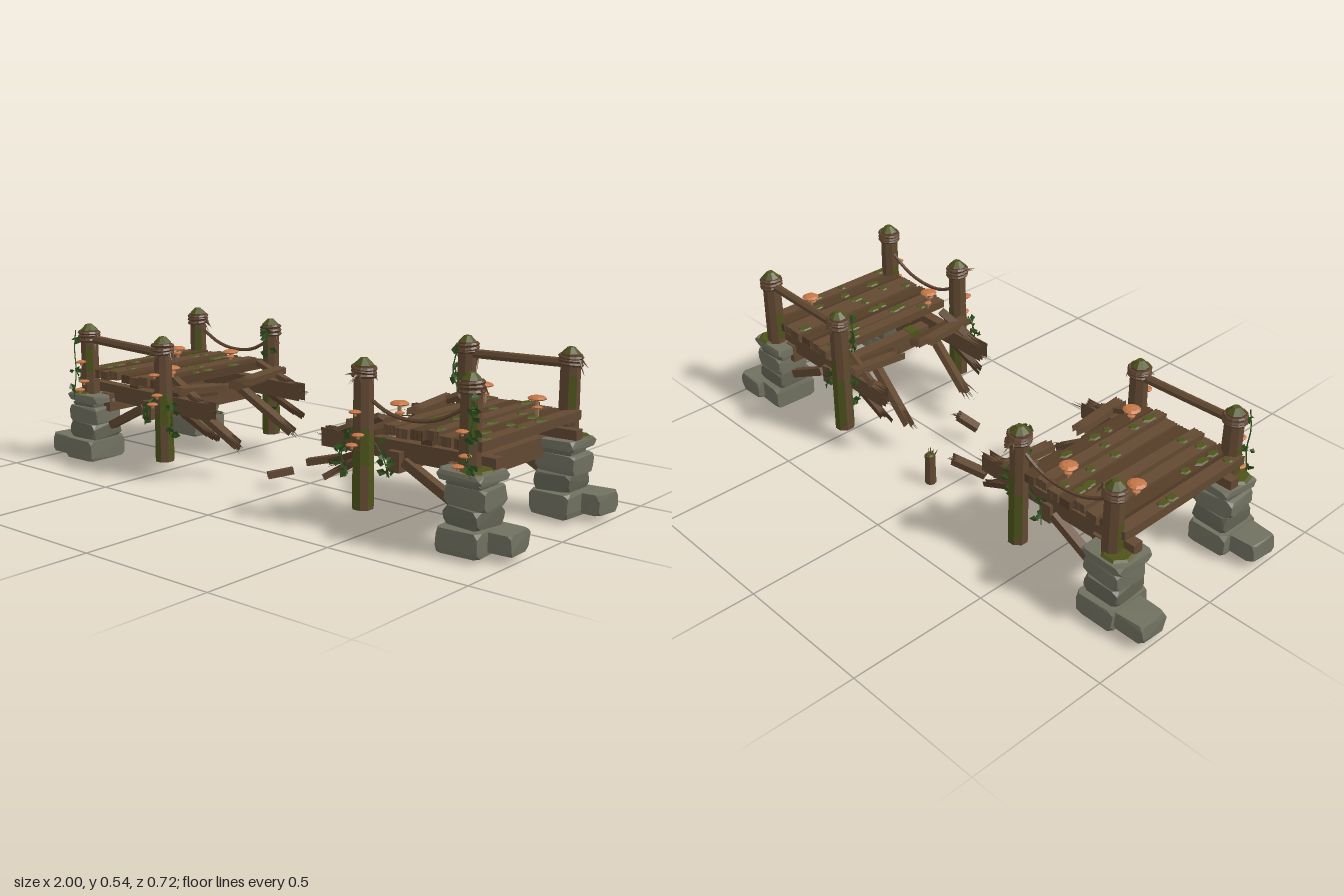
import * as THREE from 'three';
import { mergeGeometries } from 'three/addons/utils/BufferGeometryUtils.js';
import { ConvexGeometry } from 'three/addons/geometries/ConvexGeometry.js';

const V = (x, y, z) => new THREE.Vector3(x, y, z);
let seed = 7;
const rnd = (a = 0, b = 1) => {
  seed = (seed * 16807) % 2147483647;
  return a + (b - a) * (seed / 2147483647);
};
const material = (name, color, side = THREE.FrontSide) =>
  Object.assign(new THREE.MeshStandardMaterial({ color, side }), { name });

const wood = material('wood', 0x624932);
const darkWood = material('darkWood', 0x543d28);
const ropeMat = material('rope', 0x5f4530);
const stone = material('stone', 0x717161);
const darkStone = material('darkStone', 0x646555);
const moss = material('moss', 0x4e531b);
const leafMat = material('leaf', 0x32521f, THREE.DoubleSide);
const capMat = material('mushroomCap', 0xc47646);
const stemMat = material('mushroomStem', 0x9a7a58);

// Faceted mesh added to a parent
function add(parent, name, geo, mat, x = 0, y = 0, z = 0) {
  const g = geo.index ? geo.toNonIndexed() : geo;
  g.computeVertexNormals();
  const mesh = new THREE.Mesh(g, mat);
  mesh.name = name;
  mesh.position.set(x, y, z);
  parent.add(mesh);
  return mesh;
}

// Board along x; j0 and j1 are the splinter depths of its two ends
function boardGeometry(len, w, t, j0, j1) {
  const s = new THREE.Shape(), n = 6, h = len / 2;
  const notch = (i, j) => (i % 2 ? rnd(0.6, 1) : rnd(0, 0.5)) * j;
  for (let i = 0; i <= n; i++) {
    const x = h - notch(i, j1), y = -w / 2 + w * i / n;
    i ? s.lineTo(x, y) : s.moveTo(x, y);
  }
  for (let i = n; i >= 0; i--) s.lineTo(-h + notch(i, j0), -w / 2 + w * i / n);
  return new THREE.ExtrudeGeometry(s, { depth: t, bevelEnabled: false }).translate(0, 0, -t / 2).rotateX(-Math.PI / 2);
}

function board(parent, name, a, b, w, t, j0 = 0, j1 = 0, mat = wood) {
  const d = b.clone().sub(a), m = a.clone().add(b).multiplyScalar(0.5);
  const mesh = add(parent, name, boardGeometry(d.length(), w, t, j0, j1), mat, m.x, m.y, m.z);
  mesh.quaternion.setFromUnitVectors(V(1, 0, 0), d.normalize());
}

// Fan of thin slivers around a direction
function splinters(parent, at, dir, count, len, spread = 0.5, mat = darkWood) {
  const parts = [];
  for (let i = 0; i < count; i++) {
    const l = len * rnd(0.5, 1), d = dir.clone().add(V(rnd(-1, 1), rnd(-1, 1), rnd(-1, 1)).multiplyScalar(spread)).normalize();
    const g = new THREE.ConeGeometry(0.0045, l, 4).translate(0, l / 2, 0);
    g.applyQuaternion(new THREE.Quaternion().setFromUnitVectors(V(0, 1, 0), d));
    parts.push(g.translate(at.x + rnd(-0.012, 0.012), at.y + rnd(-0.01, 0.01), at.z + rnd(-0.012, 0.012)));
  }
  add(parent, 'splinters', mergeGeometries(parts), mat);
}

// Rough-hewn block: jittered box with cut corners, slightly turned
function rock(parent, x, z, y0, y1, hx, hz, mat = stone) {
  const pts = [], h = [hx, (y1 - y0) / 2, hz];
  for (const sx of [-1, 1]) for (const sy of [-1, 1]) for (const sz of [-1, 1])
    for (let k = 0; k < 3; k++)
      pts.push(V(...[sx, sy, sz].map((s, i) => s * (h[i] - (i === k ? rnd(0.012, 0.024) : rnd(0, 0.006))))));
  add(parent, 'stoneBlock', new ConvexGeometry(pts), mat, x, (y0 + y1) / 2, z).rotation.y = rnd(-0.07, 0.07);
}

// Stacked pillar with a second foot stone on its outer side
function pillar(parent, x, z, s, footZ) {
  const g = new THREE.Group(), zc = z - Math.sign(z) * 0.02;
  g.name = 'stonePillar';
  parent.add(g);
  const layers = [[0.01, 0.092, 0.073, 0.085], [0.088, 0.15, 0.066, 0.068], [0.146, 0.212, 0.072, 0.064], [0.204, 0.234, 0.06, 0.058], [0.225, 0.26, 0.082, 0.073]];
  layers.forEach(([y0, y1, hx, hz], i) =>
    rock(g, x + rnd(-0.008, 0.008), zc + rnd(-0.005, 0.005), y0, y1, hx, hz, i % 2 ? darkStone : stone));
  rock(g, s * 0.935, footZ, 0.018, 0.088, 0.062, 0.058);
  add(g, 'pillarMoss', new THREE.CylinderGeometry(0.045, 0.055, 0.007, 7), moss, x + s * 0.025, 0.261, z);
}

// Octagonal post with mossy head, rope lashing and moss streaks on some sides
function post(parent, x, y0, y1, z, streaks) {
  const g = new THREE.Group(), h = y1 - y0, r = 0.032;
  g.name = 'post';
  g.position.set(x, y0, z);
  g.rotation.y = Math.PI / 8;
  parent.add(g);
  add(g, 'postShaft', new THREE.CylinderGeometry(r, r * 1.06, h - 0.02, 8), wood, 0, (h - 0.02) / 2);
  add(g, 'postMossCap', new THREE.CylinderGeometry(0.012, r, 0.02, 8), moss, 0, h - 0.01);
  for (let i = 0; i < 3; i++) {
    const ring = add(g, 'ropeWrap', new THREE.TorusGeometry(r + 0.003, 0.0065, 5, 12), ropeMat, 0, h - 0.03 - i * 0.012);
    ring.rotation.set(Math.PI / 2 + rnd(-0.1, 0.1), rnd(-0.1, 0.1), 0);
  }
  for (const [side, from, to] of streaks)
    add(g, 'mossStreak', new THREE.CylinderGeometry(r * 1.06, r * 1.1, h * (to - from), 1, 1, true, side * Math.PI / 4, Math.PI / 4), moss, 0, h * (from + to) / 2);
  splinters(g, V(0.03, h - 0.045, 0.01), V(0.4, -1, 0.2), 3, 0.06, 0.4, ropeMat);
}
const outerStreaks = [[5, 0.1, 0.45], [0, 0.35, 0.7]];
const innerStreaks = [[7, 0, 0.4], [6, 0, 0.72], [0, 0.3, 0.55], [1, 0.02, 0.5], [2, 0, 0.3], [3, 0, 0.6], [4, 0.05, 0.45]];

function mushroom(parent, x, y, z, r, h) {
  const g = new THREE.Group();
  g.name = 'mushroom';
  g.position.set(x, y, z);
  parent.add(g);
  add(g, 'mushroomStem', new THREE.CylinderGeometry(r * 0.17, r * 0.24, h, 6), stemMat, 0, h / 2);
  const profile = [[0, 0], [r * 0.9, -0.002], [r, 0.002], [r * 0.7, r * 0.26], [0, r * 0.38]].map(p => new THREE.Vector2(...p));
  add(g, 'mushroomCap', new THREE.LatheGeometry(profile, 10), capMat, 0, h);
}

// Hanging vine through a few points, with folded leaves
function vine(parent, pts, count) {
  const curve = new THREE.CatmullRomCurve3(pts), leaves = [];
  add(parent, 'vineStem', new THREE.TubeGeometry(curve, 12, 0.0025, 4), leafMat);
  for (let i = 0; i < count; i++) {
    const p = curve.getPoint(rnd()), l = rnd(0.02, 0.035), w = l * 0.42;
    const g = new THREE.BufferGeometry();
    g.setAttribute('position', new THREE.Float32BufferAttribute([0, 0, 0, w, l / 2, 0.004, 0, l, 0, 0, 0, 0, 0, l, 0, -w, l / 2, 0.004], 3));
    g.rotateZ(rnd(0, 6.28)).rotateX(rnd(-0.8, 0.8)).rotateY(rnd(-0.9, 0.9));
    leaves.push(g.translate(p.x + rnd(-0.012, 0.012), p.y, p.z + rnd(-0.006, 0.006)));
  }
  add(parent, 'vineLeaves', mergeGeometries(leaves), leafMat);
}

// One surviving end of the bridge; s = -1 or 1, side = z sign of the log rail
function bridgeEnd(name, s, planks, top, side, feet) {
  const g = new THREE.Group();
  g.name = name;
  const X = u => s * u + 0.015, P = (u, y, z) => V(X(u), y, z);
  [0.283, -0.27].forEach((z, k) => {
    const sz = Math.sign(z);
    pillar(g, X(0.835), z, s, feet[k]);
    post(g, X(0.835), 0.25, top, z, outerStreaks);
    post(g, X(0.445), 0.065, top - 0.005, z, innerStreaks);
    splinters(g, P(0.445, top - 0.05, z + sz * 0.03), V(0, -0.6, sz * 0.7), 4, 0.05, 0.6, ropeMat);
    // Long side beams with broken inner ends
    board(g, 'sideBeam', P(0.9, 0.262, sz * 0.228), P(0.24, 0.255, sz * 0.228), 0.038, 0.06, 0, 0.09);
    splinters(g, P(0.31, 0.255, sz * 0.228), V(-s, -0.05, 0), 6, 0.11, 0.15);
    board(g, 'brace', P(0.76, 0.14, sz * 0.25), P(0.58, 0.23, sz * 0.25), 0.03, 0.028);
    // Snapped planks drooping into the gap
    board(g, 'hangingPlank', P(0.46, 0.265, sz * 0.14 + 0.025), P(0.22, 0.115, sz * 0.14 - 0.012), 0.038, 0.022, 0, 0.09);
    board(g, 'hangingPlank', P(0.43, 0.24, sz * 0.225), P(0.24, 0.16, sz * 0.228), 0.026, 0.018, 0, 0.08, darkWood);
    splinters(g, P(0.27, 0.15, sz * 0.14 - 0.005), V(-s, -0.6, 0), 6, 0.09, 0.18);
    board(g, 'brokenPlank', P(0.385, 0.32, sz * 0.275), P(0.385, 0.3, sz * 0.04), 0.042, 0.024, 0.02, 0.07);
    board(g, 'brokenPlank', P(0.435, 0.292, sz * 0.24), P(0.43, 0.282, sz * 0.03), 0.036, 0.03, 0, 0.06, darkWood);
    board(g, 'loosePlank', P(0.46, 0.345, sz * 0.215), P(0.3, 0.275, sz * 0.235), 0.028, 0.018, 0, 0.06);
    // Shelf mushrooms and vines on the posts
    if (sz > 0) for (const u of [0.835, 0.445]) for (const [y, dx] of [[0.375, 0], [0.305, 0.012], [0.27, -0.012]])
      mushroom(g, X(u) + dx, y - 0.012, z + 0.042, 0.02, 0.012);
    vine(g, [P(0.41, 0.31, z + 0.02), P(0.385, 0.27, z + 0.025), P(0.38, 0.22, z + 0.025), P(0.4, 0.17, z + 0.02)], 16);
    vine(g, [P(0.49, 0.28, z), P(0.53, 0.24, z + 0.01), P(0.545, 0.18, z)], 14);
  });
  vine(g, [P(0.86, 0.49, 0.325), P(0.87, 0.42, 0.325), P(0.86, 0.34, 0.33), P(0.87, 0.24, 0.335)], s > 0 ? 26 : 10);
  vine(g, [P(0.43, 0.48, -0.225), P(0.42, 0.42, -0.225), P(0.44, 0.36, -0.225)], 12);
  for (const u of [0.77, 0.55]) {
    board(g, 'crossBeam', P(u, 0.227, 0.27), P(u, 0.227, -0.26), 0.045, 0.065);
    add(g, 'beamMoss', new THREE.BoxGeometry(0.049, 0.035, 0.04), moss, X(u), 0.244, 0.14);
  }
  board(g, 'deckJoist', P(0.65, 0.298, 0.24), P(0.65, 0.298, -0.24), 0.04, 0.03, 0, 0, darkWood);

  // Deck planks with moss patches
  for (let i = 0; i < planks; i++) {
    const u = 0.86 - i * 0.0528, y = 0.328 + rnd(-0.003, 0.008), e = i ? rnd(-0.008, 0.008) : 0.006;
    board(g, 'deckPlank', P(u, y, 0.288 + e), P(u + rnd(-0.003, 0.003), y, -0.276 + e), 0.043, 0.03, 0.006, 0.006, i % 3 === 1 ? darkWood : wood);
    for (let k = 0; k < 3; k++) {
      const m = add(g, 'mossPatch', new THREE.CylinderGeometry(0.013, 0.019, 0.005, 6), moss, X(u) + rnd(-0.003, 0.003), y + 0.0165, rnd(-0.24, 0.25));
      m.scale.z = rnd(0.8, 2);
    }
  }

  // Log rail on one side, sagging rope on the other
  const zr = side > 0 ? 0.283 : -0.27, zo = side > 0 ? -0.27 : 0.283, yr = top - 0.057;
  const rail = new THREE.CatmullRomCurve3([P(0.86, yr + 0.005, zr), P(0.64, yr - 0.002, zr), P(0.42, yr - 0.008, zr)]);
  add(g, 'logRail', new THREE.TubeGeometry(rail, 4, 0.016, 7), wood);
  const sag = new THREE.CatmullRomCurve3([P(0.81, 0.43, zo), P(0.72, 0.385, zo), P(0.63, 0.37, zo), P(0.54, 0.38, zo), P(0.45, 0.425, zo)]);
  add(g, 'saggingRope', new THREE.TubeGeometry(sag, 14, 0.0065, 5), ropeMat);
  return g;
}

export function createModel() {
  seed = 7;
  const root = new THREE.Group();
  root.name = 'brokenBridge';
  root.add(bridgeEnd('rightBridgeEnd', -1, 8, 0.51, 1, [0.275, -0.262]), bridgeEnd('leftBridgeEnd', 1, 7, 0.542, -1, [0.232, -0.297]));

  // Mushroom clusters on the deck
  for (const [x, z] of [[-0.76, -0.1], [-0.555, -0.18], [-0.48, 0.195], [0.58, -0.195], [0.82, -0.125], [0.545, 0.215]]) {
    const drop = x < 0 ? 0.02 : 0;
    mushroom(root, x, 0.338, z, 0.031, 0.057 - drop);
    mushroom(root, x + 0.01, 0.338, z + 0.012, 0.016, 0.032 - drop / 2);
    mushroom(root, x - 0.01, 0.338, z - 0.012, 0.013, 0.022);
  }

  // Wreckage lying in the gap
  board(root, 'debrisPlank', V(-0.085, 0.045, -0.085), V(0.04, 0.075, -0.138), 0.034, 0.025, 0, 0.03);
  board(root, 'debrisPlank', V(-0.07, 0.045, 0.145), V(-0.005, 0.062, 0.075), 0.034, 0.022, 0.01, 0.03);
  board(root, 'debrisPlank', V(0.125, 0.06, 0.072), V(0.192, 0.108, 0.028), 0.032, 0.022, 0, 0.02);
  splinters(root, V(0.185, 0.105, 0.03), V(0.5, 0.3, -0.6), 3, 0.04, 0.3);
  splinters(root, V(0.02, 0.07, -0.13), V(1, 0.3, -0.4), 4, 0.05, 0.4);
  add(root, 'brokenStake', new THREE.CylinderGeometry(0.018, 0.02, 0.115, 8), wood, 0.06, 0.0575, -0.213);
  add(root, 'stakeMoss', new THREE.CylinderGeometry(0.012, 0.0165, 0.006, 8), moss, 0.06, 0.117, -0.213);
  splinters(root, V(0.06, 0.11, -0.205), V(0, 1, 0.3), 5, 0.045, 0.5);
  return root;
}
